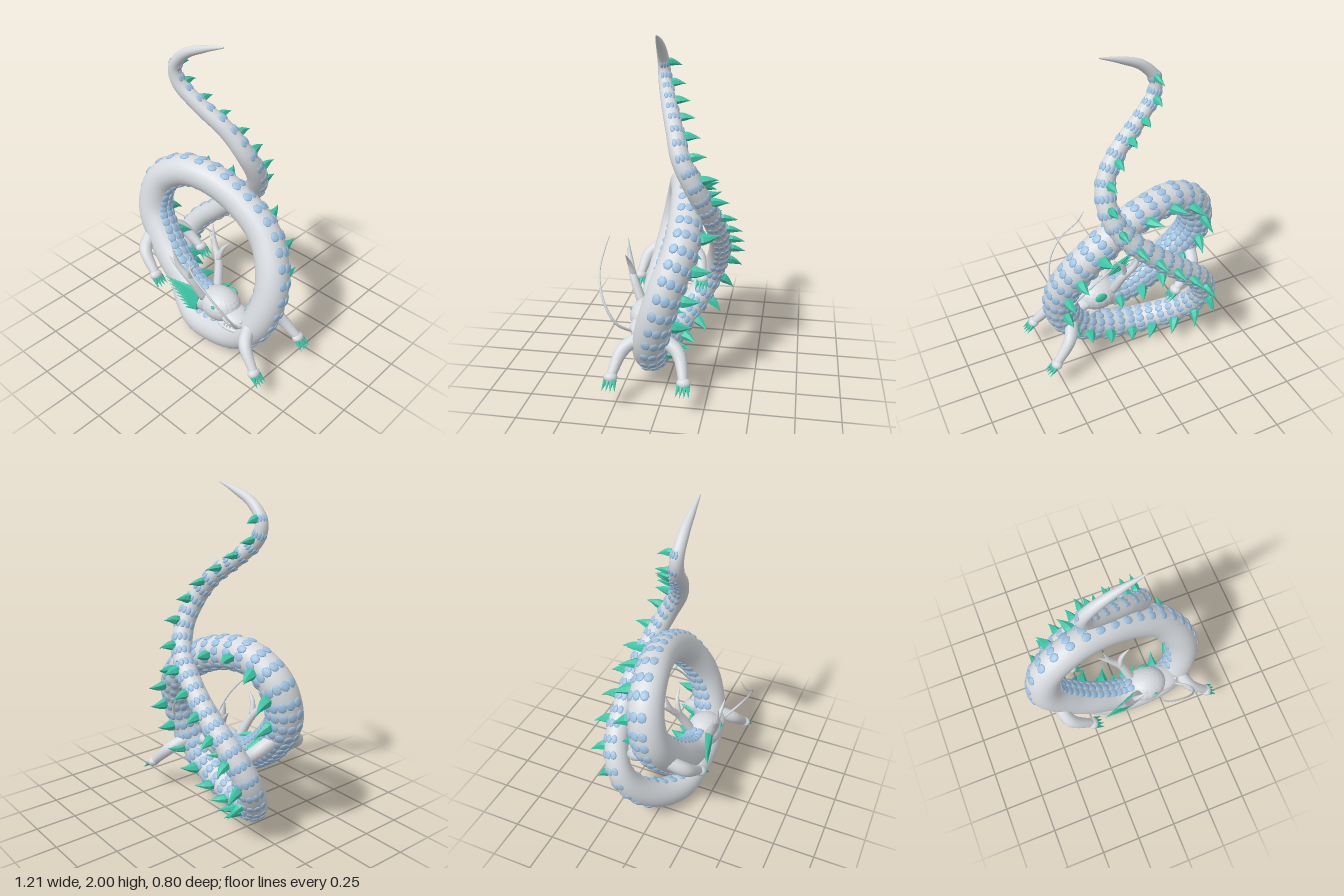
import * as THREE from 'three';
import { mergeGeometries } from 'three/addons/utils/BufferGeometryUtils.js';

const V = (x, y, z) => new THREE.Vector3(x, y, z);
const X = V(1, 0, 0), BACK = V(0, 0, -1);

// Curve through [x, y, z, radius] points, with a frame at any arc position u
function makePath(pts, ref) {
  const curve = new THREE.CatmullRomCurve3(pts.map(p => V(p[0], p[1], p[2])));
  curve.arcLengthDivisions = 500;
  const at = u => {
    const f = curve.getUtoTmapping(u) * (pts.length - 1);
    const i = Math.min(Math.floor(f), pts.length - 2);
    const T = curve.getTangentAt(u);
    const D = ref.clone().addScaledVector(T, -ref.dot(T)).normalize();
    const S = T.clone().cross(D);
    return { P: curve.getPointAt(u), T, D, S, r: THREE.MathUtils.lerp(pts[i][3], pts[i + 1][3], f - i) };
  };
  return { at, length: curve.getLength() };
}

// Tapered tube swept along a path, closed to a point at both ends
function taperTube(path, segs, sides) {
  const pos = [], idx = [];
  for (let i = -1; i <= segs + 1; i++) {
    const { P, D, S, r } = path.at(THREE.MathUtils.clamp(i / segs, 0, 1));
    const rad = i < 0 || i > segs ? 0 : r;
    for (let j = 0; j < sides; j++) {
      const a = (j / sides) * Math.PI * 2;
      const p = P.clone().addScaledVector(D, Math.cos(a) * rad).addScaledVector(S, Math.sin(a) * rad);
      pos.push(p.x, p.y, p.z);
    }
  }
  for (let i = 0; i < segs + 2; i++) for (let j = 0; j < sides; j++) {
    const a = i * sides + j, b = i * sides + (j + 1) % sides;
    idx.push(a, b, a + sides, b, b + sides, a + sides);
  }
  const g = new THREE.BufferGeometry();
  g.setAttribute('position', new THREE.Float32BufferAttribute(pos, 3));
  g.setIndex(idx);
  g.computeVertexNormals();
  return g;
}

// Cone from one point to another
function thorn(from, to, r, sides = 6) {
  const d = to.clone().sub(from), len = d.length();
  const g = new THREE.ConeGeometry(r, len, sides).translate(0, len / 2, 0);
  g.applyQuaternion(new THREE.Quaternion().setFromUnitVectors(V(0, 1, 0), d.normalize()));
  return g.translate(from.x, from.y, from.z);
}

function ball(x, y, z, rx, ry, rz) {
  return new THREE.SphereGeometry(1, 14, 10).scale(rx, ry, rz).translate(x, y, z);
}

// Join pieces; uv is dropped so that swept and built-in geometries match
function join(pieces) {
  return mergeGeometries(pieces.map(g => g.deleteAttribute('uv')));
}

export function createModel() {
  const model = new THREE.Group();
  model.name = 'coiledDragon';
  const mat = (name, color, flatShading = false) => {
    const m = new THREE.MeshStandardMaterial({ color, flatShading });
    m.name = name;
    return m;
  };
  const skin = mat('paleGreySkin', 0xd6dade);
  const facetSkin = mat('paleGreyFacets', 0xd6dade, true);
  const blue = mat('blueScale', 0x9fc3e2);
  const green = mat('greenSpine', 0x3cc6a6, true);
  const ivory = mat('ivoryTooth', 0xeceae2);
  const add = (name, geo, material) => {
    const m = new THREE.Mesh(geo, material);
    m.name = name;
    model.add(m);
  };

  // Body: from the head, around the loop, up behind it to the tail tip
  const body = makePath([
    [0.16, 0.375, 0.125, 0.088], [-0.05, 0.37, 0.13, 0.092], [-0.22, 0.46, 0.12, 0.1], [-0.38, 0.6, 0.09, 0.104],
    [-0.49, 0.77, 0.06, 0.104], [-0.46, 0.96, 0.02, 0.1], [-0.3, 1.075, -0.02, 0.096], [-0.1, 1.07, -0.06, 0.095],
    [0.12, 0.98, -0.085, 0.096], [0.3, 0.84, -0.08, 0.1], [0.41, 0.66, -0.02, 0.1], [0.43, 0.5, 0.03, 0.1],
    [0.37, 0.31, 0.08, 0.1], [0.24, 0.18, 0.1, 0.098], [0.05, 0.11, 0.1, 0.092], [-0.12, 0.095, 0.08, 0.088],
    [-0.3, 0.16, 0, 0.085], [-0.42, 0.29, -0.1, 0.08], [-0.45, 0.43, -0.17, 0.075], [-0.38, 0.58, -0.22, 0.07],
    [-0.22, 0.73, -0.245, 0.065], [-0.03, 0.9, -0.235, 0.062], [0.1, 1.03, -0.2, 0.06], [0.17, 1.18, -0.135, 0.058],
    [0.155, 1.33, -0.06, 0.055], [0.06, 1.47, -0.01, 0.05], [-0.1, 1.6, 0.05, 0.045], [-0.21, 1.71, 0.09, 0.04],
    [-0.225, 1.8, 0.1, 0.036], [-0.15, 1.89, 0.1, 0.03], [-0.02, 1.95, 0.09, 0.02], [0.11, 1.99, 0.08, 0.004],
  ], BACK);
  add('body', taperTube(body, 260, 24), skin);

  // Rings of oval scales over the back and flanks, closer together on the neck
  const scales = [], count = 8;
  for (let s = 0.13; s < body.length * 0.94;) {
    const { P, T, D, S, r } = body.at(s / body.length);
    const step = s < 0.9 ? 0.057 : 0.083;
    for (let k = 0; k < count; k++) {
      const a = (k / (count - 1) - 0.5) * Math.PI * 1.12;
      const N = D.clone().multiplyScalar(Math.cos(a)).addScaledVector(S, Math.sin(a));
      const C = P.clone().addScaledVector(N, r * 0.99);
      const basis = new THREE.Matrix4().makeBasis(T, N, T.clone().cross(N)).setPosition(C);
      scales.push(new THREE.SphereGeometry(1, 8, 6).scale(0.017 + r * 0.13, 0.004 + r * 0.06, r * 0.265).applyMatrix4(basis));
    }
    s += step;
  }
  add('backScales', join(scales), blue);

  // Blunt hooked spines along the back, leaning toward the head
  const spines = [];
  for (let s = 0.13; s < body.length * 0.95;) {
    const { P, T, D, S, r } = body.at(s / body.length);
    const g = new THREE.ConeGeometry(1, 1, 6, 4).translate(0, 0.5, 0);
    const p = g.attributes.position, k = (r / 0.1) ** 0.4;
    for (let i = 0; i < p.count; i++) {
      const y = p.getY(i), bulge = 1 + 1.5 * y * (1 - y);
      p.setXYZ(i, (p.getX(i) * 0.037 * bulge - 0.04 * y * y) * k, y * 0.12 * k, p.getZ(i) * 0.029 * bulge * k);
    }
    const base = P.clone().addScaledVector(D, r * 0.9);
    spines.push(g.applyMatrix4(new THREE.Matrix4().makeBasis(T, D, S).setPosition(base)));
    s += 0.105 + r * 0.65;
  }
  add('backSpines', join(spines), green);

  // Legs: [shoulder, elbow, wrist] with z as the distance from the body's centre plane
  const legs = [
    { name: 'frontLeg', mid: 0.07, pts: [[-0.45, 0.63, 0.05, 0.042], [-0.41, 0.56, 0.16, 0.042], [-0.28, 0.45, 0.2, 0.026]] },
    { name: 'hindLeg', mid: 0.065, pts: [[0.37, 0.35, 0.05, 0.042], [0.42, 0.29, 0.155, 0.04], [0.535, 0.17, 0.205, 0.026]] },
  ];
  for (const { name, mid, pts } of legs) for (const side of [1, -1]) {
    const path = makePath(pts.map(([x, y, z, r]) => [x, y, mid + side * z, r]), X);
    const [x, y, dz] = pts[2], z = mid + side * dz;
    add(name, join([taperTube(path, 14, 12), ball(x, y, z, 0.034, 0.03, 0.04)]), skin);
    add(name + 'Claws', join([-1.5, -0.5, 0.5, 1.5].map(k =>
      thorn(V(x + 0.015, y - 0.01, z + k * 0.016), V(x + 0.073 - Math.abs(k) * 0.006, y - 0.055, z + k * 0.025), 0.015))), green);
  }

  // Head: skull, muzzle and lower jaw
  const headZ = 0.13;
  add('skull', new THREE.SphereGeometry(1, 20, 14).scale(0.135, 0.1, 0.112).translate(0.14, 0.38, headZ), facetSkin);
  add('muzzle', ball(0, 0, 0, 0.11, 0.048, 0.088).rotateZ(-0.2).translate(0.262, 0.358, headZ), skin);
  add('lowerJaw', ball(0, 0, 0, 0.115, 0.024, 0.07).rotateZ(0.03).translate(0.235, 0.279, headZ), skin);
  const teeth = [];
  for (let i = 0; i < 6; i++) for (const side of [1, -1]) {
    const x = 0.235 + i * 0.02, z = headZ + side * (0.07 - i * i * 0.0018);
    teeth.push(thorn(V(x, 0.325, z), V(x, 0.294, z), 0.009, 5));
  }
  add('teeth', join(teeth), ivory);

  // Flat crest plate at the nape
  add('napePlate', ball(0.155, 0.415, 0.034, 0.04, 0.032, 0.016), green);

  // Cheek frill of broad overlapping spikes swept back from the jaw
  const frill = [];
  for (let i = 0; i < 9; i++) {
    const t = i / 8;
    frill.push(
      thorn(V(0.04 - t * 0.035, 0.44 - t * 0.12, 0.2), V(-0.2 + t * 0.135, 0.495 - t * 0.205, 0.28 - t * 0.045), 0.027));
  }
  add('cheekFrill', join(frill), green);

  for (const side of [1, -1]) {
    const path = pts => makePath(pts.map(([x, y, z, r]) => [x, y, headZ + side * z, r]), X);

    // Eyes and nostrils
    add('eye', ball(0.168, 0.42, headZ + side * 0.097, 0.014, 0.011, 0.009), green);
    add('nostril', ball(0.335, 0.37, headZ + side * 0.035, 0.013, 0.01, 0.012), skin);

    // Branched antler
    add('antler', join([
      taperTube(path([[0.06, 0.42, 0.06, 0.03], [0.01, 0.56, 0.12, 0.025], [-0.05, 0.64, 0.15, 0.019], [-0.085, 0.77, 0.17, 0.002]]), 14, 8),
      taperTube(path([[0.005, 0.57, 0.12, 0.02], [0.025, 0.65, 0.14, 0.015], [0.08, 0.72, 0.15, 0.002]]), 8, 8),
      taperTube(path([[-0.03, 0.61, 0.14, 0.018], [-0.08, 0.66, 0.16, 0.012], [-0.12, 0.7, 0.17, 0.002]]), 8, 8),
    ]), skin);

    // Long curling whisker
    add('whisker', taperTube(path([
      [0.32, 0.35, 0.06, 0.008], [0.392, 0.43, 0.14, 0.008], [0.37, 0.56, 0.215, 0.007],
      [0.28, 0.68, 0.255, 0.006], [0.15, 0.78, 0.255, 0.005], [0.12, 0.855, 0.23, 0.002],
    ]), 36, 6), skin);
  }
  return model;
}
